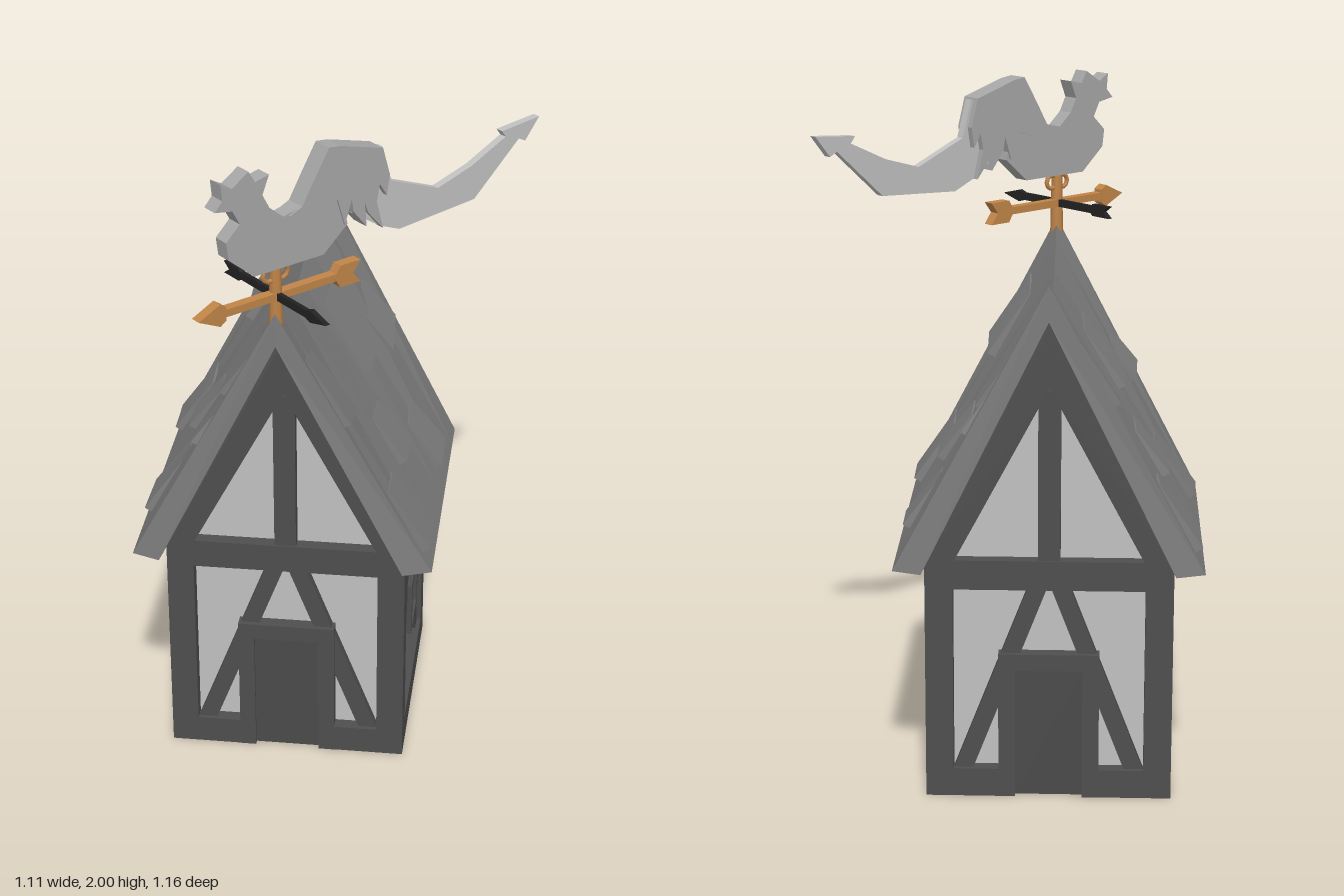
import * as THREE from 'three';

const mat = (name, color) => {
  const m = new THREE.MeshStandardMaterial({ color });
  m.name = name;
  return m;
};

export function createModel() {
  const timber = mat('dark timber', 0x4e4e4e);
  const doorWood = mat('door wood', 0x4a4a4a);
  const plaster = mat('plaster', 0xc0c0c0);
  const roofMat = mat('roof grey', 0x7c7c7c);
  const bodyMat = mat('bird grey', 0xa6a6a6);
  const tailMat = mat('tail grey', 0xc0c0c0);
  const copper = mat('copper', 0xc08448);
  const black = mat('black iron', 0x222222);

  const model = new THREE.Group();
  model.name = 'cottage';
  const CX = -0.115, CZ = -0.08;

  const add = (parent, name, geo, material, x = 0, y = 0, z = 0) => {
    const m = new THREE.Mesh(geo, material);
    m.name = name;
    m.position.set(x, y, z);
    parent.add(m);
    return m;
  };
  // box given by its min and max corners
  const box = (parent, name, material, x0, x1, y0, y1, z0, z1) =>
    add(parent, name, new THREE.BoxGeometry(x1 - x0, y1 - y0, z1 - z0), material,
      (x0 + x1) / 2, (y0 + y1) / 2, (z0 + z1) / 2);
  const shapeOf = pts => new THREE.Shape(pts.map(p => new THREE.Vector2(...p)));
  // flat outline extruded between two depths
  const plate = (parent, name, material, pts, z0, z1, hole) => {
    const s = shapeOf(pts);
    if (hole) s.holes.push(shapeOf(hole));
    const g = new THREE.ExtrudeGeometry(s, { depth: z1 - z0, bevelEnabled: false });
    return add(parent, name, g, material, 0, 0, z0);
  };

  // Timber-framed walls: the same panel on four sides
  const house = new THREE.Group();
  house.name = 'house';
  house.position.set(CX, 0, CZ);
  model.add(house);
  const H = 0.355, C = 0.315;
  for (const sx of [-1, 1]) for (const sz of [-1, 1])
    add(house, 'cornerPost', new THREE.BoxGeometry(0.08, 0.72, 0.08), timber, sx * C, 0.36, sz * C);

  for (let k = 0; k < 4; k++) {
    const wall = new THREE.Group();
    wall.name = ['frontWall', 'leftWall', 'backWall', 'rightWall'][k];
    wall.rotation.y = k * Math.PI / 2;
    house.add(wall);
    const hasDoor = k % 2 === 0;
    box(wall, 'wallPanel', plaster, -0.29, 0.29, 0.04, 0.68, 0.305, 0.315);
    box(wall, 'topBeam', timber, -0.275, 0.275, 0.635, 0.72, 0.3, H);
    for (const s of [-1, 1])
      plate(wall, 'brace', timber, [[s * 0.275, 0.08], [s * 0.22, 0.08], [s * 0.005, 0.64], [s * 0.06, 0.64]], 0.31, 0.342);

    if (hasDoor) {
      for (const s of [-1, 1])
        add(wall, 'bottomBeam', new THREE.BoxGeometry(0.13, 0.085, 0.055), timber, s * 0.21, 0.0425, 0.3275);
      plate(wall, 'doorFrame', timber, [[-0.145, 0], [-0.097, 0], [-0.097, 0.39], [0.097, 0.39],
        [0.097, 0], [0.145, 0], [0.145, 0.44], [-0.145, 0.44]], 0.3, 0.356);
      box(wall, 'door', doorWood, -0.097, 0.097, 0.004, 0.39, 0.3, 0.345);

      // Gable above the door
      plate(wall, 'gableFrame', timber, [[-0.352, 0.715], [0.352, 0.715], [0, 1.41]], 0.3, H,
        [[-0.27, 0.722], [0, 1.23], [0.27, 0.722]]);
      plate(wall, 'gablePanel', plaster, [[-0.3, 0.71], [0.3, 0.71], [0, 1.27]], 0.305, 0.315);
      box(wall, 'gablePost', timber, -0.032, 0.032, 0.71, 1.22, 0.31, 0.35);
    } else {
      box(wall, 'bottomBeam', timber, -0.275, 0.275, 0, 0.085, 0.3, H);
      plate(wall, 'windowFrame', timber, [[-0.098, 0.272], [0.098, 0.272], [0.098, 0.447], [-0.098, 0.447]], 0.31, 0.356,
        [[-0.075, 0.288], [-0.075, 0.424], [0.075, 0.424], [0.075, 0.288]]);
      box(wall, 'window', doorWood, -0.075, 0.075, 0.288, 0.424, 0.31, 0.343);
    }
  }

  // Sagging roof: an upside-down V section swept along the ridge
  const EAVE = 0.715, HALF = 0.44;
  const ridgeY = z => 1.43 + 0.12 * (z / 0.493) ** 2;
  const sections = [1, 0.77, 0.37, 0, -0.37, -0.77, -1].map(t => {
    const y = ridgeY(t * 0.493);
    return [[HALF, EAVE, t * 0.433], [0, y, t * 0.493], [-HALF, EAVE, t * 0.433],
      [-0.357, EAVE, t * 0.463], [0, y - 0.1, t * 0.493], [0.357, EAVE, t * 0.463]];
  });
  const pos = [];
  const quad = (a, b, c, d) => pos.push(...a, ...b, ...c, ...a, ...c, ...d);
  for (let i = 0; i < 6; i++) for (let j = 0; j < 6; j++) {
    const n = (j + 1) % 6, A = sections[i], B = sections[i + 1];
    quad(A[j], B[j], B[n], A[n]);
  }
  const F = sections[0], K = sections[6];
  quad(F[0], F[1], F[4], F[5]);
  quad(F[1], F[2], F[3], F[4]);
  quad(K[5], K[4], K[1], K[0]);
  quad(K[4], K[3], K[2], K[1]);
  const roofGeo = new THREE.BufferGeometry();
  roofGeo.setAttribute('position', new THREE.Float32BufferAttribute(pos, 3));
  roofGeo.computeVertexNormals();
  add(model, 'roof', roofGeo, roofMat, CX, 0, CZ);

  // Loose shingles: x range, z range, sideways lean of the upper edge
  const shingles = [
    [-0.545, -0.42, -0.46, -0.30, 0.01], [-0.315, -0.18, -0.49, -0.34, -0.01], [-0.455, -0.355, -0.21, -0.055, 0.01],
    [-0.545, -0.415, 0.03, 0.19, -0.01], [-0.325, -0.20, -0.02, 0.14, 0.01], [-0.365, -0.28, 0.21, 0.37, -0.01],
    [0.03, 0.135, -0.5, -0.34, 0.02], [-0.045, 0.1, -0.27, -0.1, -0.008], [0.2, 0.31, -0.32, -0.155, 0.008],
    [0.12, 0.225, -0.07, 0.09, -0.005], [0.19, 0.315, 0.17, 0.33, 0.005], [-0.04, 0.09, 0.21, 0.37, 0.005]];
  for (const [x0, x1, z0, z1, lean] of shingles) {
    const side = x0 + x1 > 2 * CX ? 1 : -1;
    const g = new THREE.BoxGeometry(1, 1, 1);
    const p = g.attributes.position;
    for (let i = 0; i < p.count; i++) {
      const u = p.getX(i) + 0.5, w = p.getZ(i);
      const low = side > 0 ? u : 1 - u;
      const z = (z0 + z1) / 2 + w * (z1 - z0) * (0.85 + 0.15 * low) + lean * (1 - low) - CZ;
      const dx = x0 + (x1 - x0) * u - CX - side * 0.02 * low + lean * w * 0.5;
      const y = EAVE + (1 - Math.abs(dx) / HALF) * (ridgeY(z) - EAVE);
      const lift = p.getY(i) > 0 ? 0.004 + 0.02 * low : -0.006;
      p.setXYZ(i, dx + side * lift * 0.87, y + lift * 0.5, z);
    }
    g.computeVertexNormals();
    add(model, 'shingle', g, roofMat, CX, 0, CZ);
  }

  // Weathervane, turned about its post
  const vane = new THREE.Group();
  vane.name = 'weathervane';
  vane.position.set(CX, 0, 0.393);
  vane.rotation.y = 0.772;
  model.add(vane);
  add(vane, 'post', new THREE.CylinderGeometry(0.016, 0.02, 0.2, 8), copper, 0, 1.6, 0);
  for (const s of [-1, 1])
    add(vane, 'postScroll', new THREE.TorusGeometry(0.02, 0.007, 6, 10), copper, s * 0.022, 1.665, 0);

  const arrow = (name, material, a, b, half, size) => {
    const g = new THREE.Group();
    g.name = name;
    g.position.y = 1.6;
    vane.add(g);
    plate(g, 'arrowHead', material, [[a, 0], [a + 0.07, -size], [a + 0.09, -size * 0.6], [a + 0.09, size * 0.6], [a + 0.07, size]], -half, half);
    box(g, 'arrowShaft', material, a + 0.08, b - 0.04, -0.011, 0.011, -half * 0.9, half * 0.9);
    plate(g, 'arrowFletching', material, [[b - 0.09, 0], [b - 0.07, -size], [b, -size], [b - 0.025, 0], [b, size], [b - 0.07, size]], -half, half);
    return g;
  };
  arrow('copperArrow', copper, -0.265, 0.28, 0.016, 0.033);
  arrow('blackArrow', black, -0.235, 0.235, 0.0075, 0.018).rotation.y = Math.PI / 2;

  // Bird with comb, plume and long pointed tail
  plate(vane, 'birdBody', bodyMat, [[-0.19, 1.98], [-0.154, 1.96], [-0.1, 1.995], [-0.079, 1.96], [-0.034, 1.97],
    [-0.056, 1.917], [-0.034, 1.875], [0.011, 1.837], [0.064, 1.848], [0.2, 1.88], [0.228, 1.758], [0.146, 1.688],
    [-0.086, 1.688], [-0.169, 1.758], [-0.176, 1.81], [-0.131, 1.853], [-0.154, 1.896], [-0.21, 1.906], [-0.185, 1.933]],
  -0.024, 0.024);
  plate(vane, 'birdPlume', bodyMat, [[0.03, 1.835], [0.07, 1.852], [0.109, 1.917], [0.161, 2], [0.2, 1.995], [0.345, 1.954],
    [0.37, 1.87], [0.36, 1.81], [0.335, 1.85], [0.325, 1.8], [0.348, 1.715], [0.295, 1.775], [0.283, 1.81], [0.29, 1.735],
    [0.245, 1.79], [0.238, 1.83], [0.215, 1.76], [0.19, 1.84], [0.12, 1.82]], -0.03, 0.03);
  plate(vane, 'birdTail', tailMat, [[0.23, 1.86], [0.34, 1.945], [0.356, 1.95], [0.39, 1.84], [0.558, 1.774], [0.68, 1.81],
    [0.805, 1.868], [0.79, 1.888], [0.93, 1.9], [0.88, 1.838], [0.855, 1.85], [0.693, 1.705], [0.42, 1.686], [0.35, 1.715],
    [0.25, 1.78]], -0.012, 0.012);

  return model;
}
